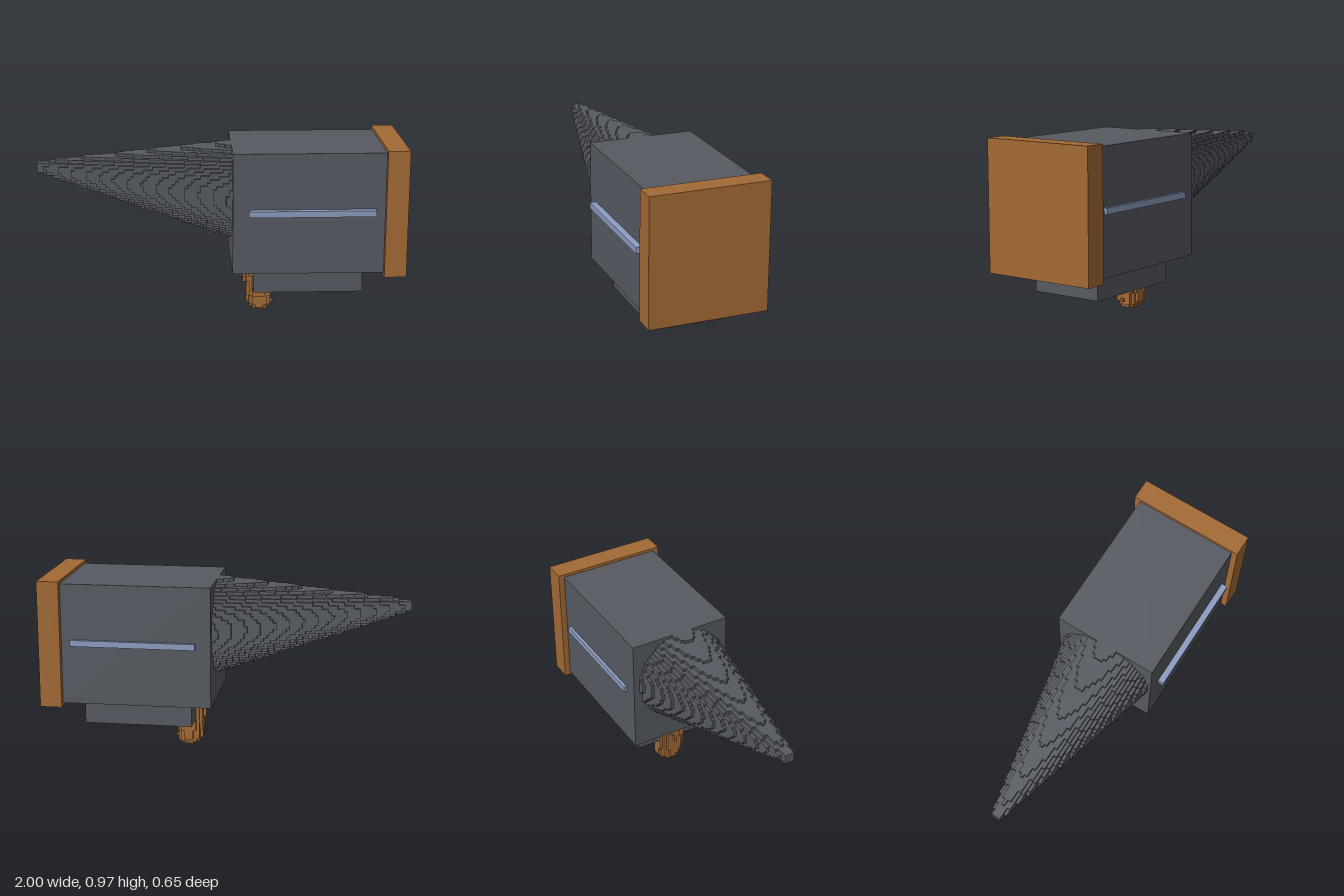
import * as THREE from 'three';

const S = 2 / 117; // one grid cell
const X0 = -1;     // cell 0 in x

const flat = (name, color) => {
  const m = new THREE.MeshStandardMaterial({ color });
  m.name = name;
  return m;
};

// Box spanning cell coordinates [min, max]
function block(name, material, [x0, y0, z0], [x1, y1, z1]) {
  const geo = new THREE.BoxGeometry((x1 - x0) * S, (y1 - y0) * S, (z1 - z0) * S);
  const mesh = new THREE.Mesh(geo, material);
  mesh.name = name;
  mesh.position.set(X0 + (x0 + x1) * S / 2, (y0 + y1) * S / 2, (z0 + z1) * S / 2);
  return mesh;
}

// Stepped solid: emits only the outer cell faces of the region inside(x, y, z)
function steppedSolid(name, material, min, max, inside) {
  const filled = c => c.every((v, a) => v >= min[a] && v < max[a])
    && inside(c[0] + 0.5, c[1] + 0.5, c[2] + 0.5);
  const pos = [], nor = [];
  const addFace = (cell, axis, dir) => {
    const u = (axis + 1) % 3, v = (axis + 2) % 3;
    const corner = (a, b) => {
      const p = [...cell];
      if (dir > 0) p[axis] += 1;
      p[u] += a;
      p[v] += b;
      return [X0 + p[0] * S, p[1] * S, p[2] * S];
    };
    const q = [corner(0, 0), corner(1, 0), corner(1, 1), corner(0, 1)];
    if (dir < 0) q.reverse();
    const n = [0, 0, 0];
    n[axis] = dir;
    for (const i of [0, 1, 2, 0, 2, 3]) {
      pos.push(...q[i]);
      nor.push(...n);
    }
  };
  for (let x = min[0]; x < max[0]; x++)
    for (let y = min[1]; y < max[1]; y++)
      for (let z = min[2]; z < max[2]; z++) {
        const cell = [x, y, z];
        if (!filled(cell)) continue;
        for (let axis = 0; axis < 3; axis++)
          for (const dir of [-1, 1]) {
            const next = [...cell];
            next[axis] += dir;
            if (!filled(next)) addFace(cell, axis, dir);
          }
      }
  const geo = new THREE.BufferGeometry();
  geo.setAttribute('position', new THREE.Float32BufferAttribute(pos, 3));
  geo.setAttribute('normal', new THREE.Float32BufferAttribute(nor, 3));
  const mesh = new THREE.Mesh(geo, material);
  mesh.name = name;
  return mesh;
}

export function createModel() {
  const grey = flat('dark grey', 0x565a61);
  const brown = flat('copper brown', 0xa36a35);
  const blue = flat('pale blue', 0x8c9cc0);
  const model = new THREE.Group();
  model.name = 'model';

  // Main housing, end plate and lower housing
  model.add(block('body', grey, [62, 17, -17], [110, 56, 17]));
  model.add(block('endPlate', brown, [110, 16, -19], [117, 57, 19]));
  model.add(block('lowerHousing', grey, [69, 9, -12], [104, 17, 12]));

  // Side rails
  model.add(block('leftRail', blue, [67, 36, 17], [107, 38, 19]));
  model.add(block('rightRail', blue, [67, 36, -18], [107, 38, -17]));

  // Long cone whose axis rises toward the tip
  model.add(steppedSolid('cone', grey, [0, 24, -18], [62, 58, 18], (x, y, z) =>
    Math.hypot(y - (48.65 - 0.13 * x), z - 0.5) <= 1.5 + 0.2246 * x));

  // Slightly leaning peg with a rounded lower end
  const capRadii = [2.5, 3.5, 4.1, 4.1, 4.1];
  model.add(steppedSolid('peg', brown, [64, 0, -6], [78, 17, 7], (x, y, z) =>
    Math.hypot(x - (71.55 - 0.055 * y), z - (0.15 + 0.04 * y))
      <= (capRadii[Math.floor(y)] ?? 4.55)));

  return model;
}
